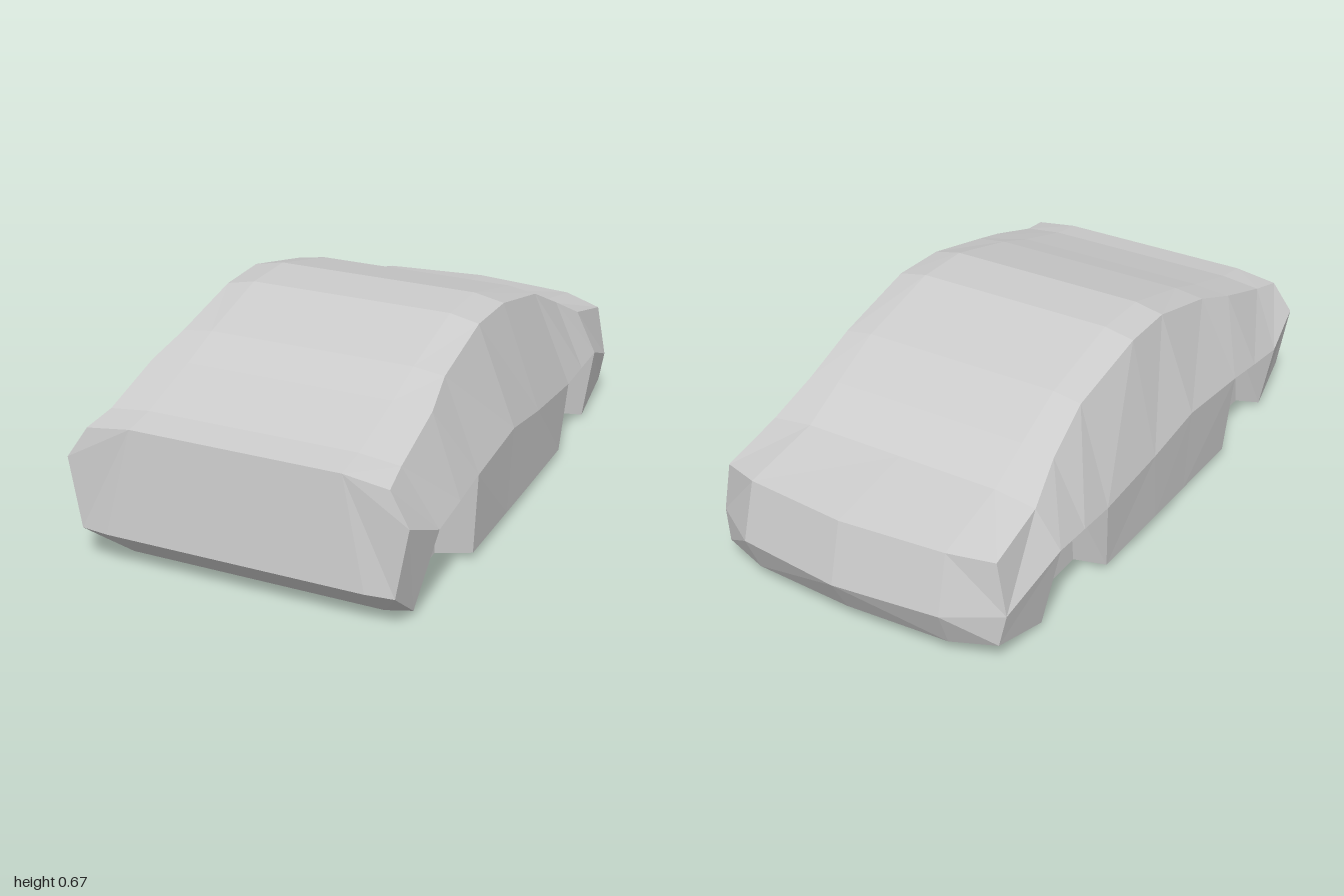
import * as THREE from 'three';

const INNER = 0.42; // half width of the floor and of the wheel-well inner walls

// Half cross-section from the top centre, over the shoulder, down to the floor centre.
// top: [z, y], rail: [x, y], belt: [x, y, z], low: [x, y, z], floorY
function section(top, rail, belt, low, floorY = 0) {
  const [z, y] = top;
  return [
    [0, y, z], [0.34, y, z], [...rail, z], belt, low,
    [INNER, floorY, low[2]], [0, floorY, low[2]],
  ];
}

// Same section with the side cut back to the inner wall of a wheel well
function well(s) {
  const c = s.map((p) => [...p]);
  c[4] = [INNER, s[3][1], s[3][2]];
  return c;
}

export function createModel() {
  // Front bumper
  const front = section([0.97, 0.47], [0.485, 0.45], [0.55, 0.35, 0.985], [0.51, 0.125, 0.99], 0.125);
  front[5][2] = front[6][2] = 1;
  const bumper = section([0.86, 0.485], [0.47, 0.47], [0.57, 0.275, 0.82], [0.51, 0.02, 0.86]);

  // Wheel wells and cabin
  const wellA = section([0.63, 0.55], [0.465, 0.54], [0.568, 0.29, 0.66], [0.54, 0.03, 0.66]);
  const sillA = section([0.48, 0.6], [0.44, 0.587], [0.565, 0.305, 0.51], [0.545, 0.03, 0.49]);
  const roofA = section([0.2, 0.67], [0.435, 0.65], [0.56, 0.325, 0.2], [0.545, 0.03, 0.2]);
  const roofB = section([0, 0.67], [0.44, 0.65], [0.555, 0.285, -0.04], [0.545, 0.03, 0]);
  const sillB = section([-0.31, 0.59], [0.435, 0.575], [0.555, 0.26, -0.34], [0.54, 0.025, -0.31]);
  const wellB = section([-0.49, 0.5], [0.45, 0.485], [0.555, 0.265, -0.48], [0.54, 0.02, -0.48]);
  const tail = section([-0.64, 0.42], [0.48, 0.402], [0.555, 0.27, -0.62], [0.51, 0.01, -0.65]);

  // Rounded back end
  const back = [
    [0, 0.365, -0.95], [0.35, 0.362, -0.915], [0.487, 0.345, -0.86], [0.52, 0.17, -0.86],
    [0.5, 0.065, -0.87], [0.35, 0.045, -0.91], [0, 0.045, -0.93],
  ];
  const ridge = [[0, 0.165, -1], [0.355, 0.17, -0.965]];

  const rows = [
    front, bumper, well(bumper), well(wellA), well(sillA), sillA, roofA, roofB,
    sillB, well(sillB), well(wellB), well(tail), tail, back,
  ];

  // Every face is added together with its mirror image
  const positions = [];
  const mirror = ([x, y, z]) => [-x, y, z];
  const key = (p) => p.join();
  const tri = (a, b, c) => {
    if (new Set([key(a), key(b), key(c)]).size < 3) return;
    positions.push(...a, ...b, ...c, ...mirror(a), ...mirror(c), ...mirror(b));
  };
  const quad = (a, b, c, d) => {
    tri(a, b, c);
    tri(a, c, d);
  };

  // Skin between neighbouring sections
  for (let i = 0; i < rows.length - 1; i++) {
    for (let j = 0; j < 6; j++) {
      quad(rows[i][j], rows[i][j + 1], rows[i + 1][j + 1], rows[i + 1][j]);
    }
  }

  // Front face
  const [t, a, b, c, d, e, u] = front;
  quad(t, u, e, a);
  quad(a, e, d, c);
  tri(a, c, b);

  // Back face, folded along its ridge
  const [T, A, B, C, D, E, U] = back;
  const [m0, m1] = ridge;
  quad(T, A, m1, m0);
  quad(A, B, C, m1);
  quad(m1, C, D, E);
  quad(m0, m1, E, U);

  const geometry = new THREE.BufferGeometry();
  geometry.setAttribute('position', new THREE.Float32BufferAttribute(positions, 3));
  geometry.computeVertexNormals();

  const body = new THREE.Mesh(
    geometry,
    new THREE.MeshStandardMaterial({ color: 0xcccccc, flatShading: true }),
  );
  body.name = 'carBody';

  const group = new THREE.Group();
  group.name = 'car';
  group.add(body);
  return group;
}
